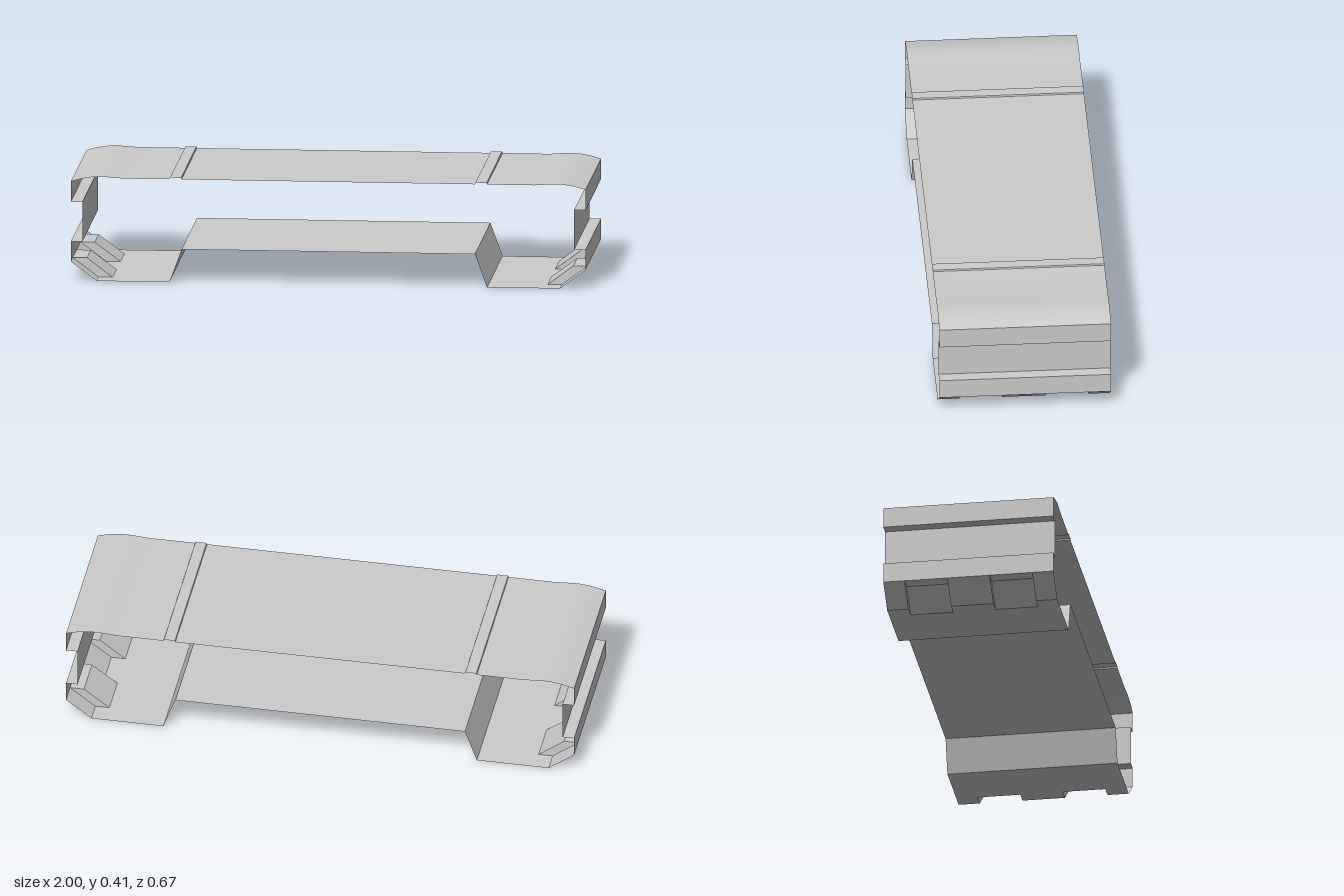
import * as THREE from 'three';
import { toCreasedNormals } from 'three/addons/utils/BufferGeometryUtils.js';

const HALF_DEPTH = 0.333;

export function createModel() {
  const model = new THREE.Group();
  const material = new THREE.MeshStandardMaterial({ color: 0xcccccc, side: THREE.DoubleSide });

  function add(name, geometry) {
    const mesh = new THREE.Mesh(geometry, material);
    mesh.name = name;
    model.add(mesh);
    return mesh;
  }

  // Sweeps an open profile (counter-clockwise in x, y) along z into a thin sheet
  function sheet(name, points, z0 = -HALF_DEPTH, z1 = HALF_DEPTH) {
    const positions = [];
    for (let i = 0; i < points.length - 1; i++) {
      const [ax, ay] = points[i];
      const [bx, by] = points[i + 1];
      positions.push(ax, ay, z0, bx, by, z0, bx, by, z1);
      positions.push(ax, ay, z0, bx, by, z1, ax, ay, z1);
    }
    const geometry = new THREE.BufferGeometry();
    geometry.setAttribute('position', new THREE.Float32BufferAttribute(positions, 3));
    geometry.computeVertexNormals();
    return add(name, toCreasedNormals(geometry, 0.35));
  }

  const mirror = (points) => points.map(([x, y]) => [-x, y]).reverse();

  // Upper shell: grooved ends, rounded shoulders and a shallow rib on each side
  const shoulder = new THREE.SplineCurve([
    new THREE.Vector2(1, 0.39), new THREE.Vector2(0.95, 0.403),
    new THREE.Vector2(0.89, 0.41), new THREE.Vector2(0.8, 0.405),
  ]).getPoints(12).map((p) => [p.x, p.y]);
  const upper = [
    [1, 0.075], [1, 0.154], [0.955, 0.154], [0.955, 0.31], [1, 0.31],
    ...shoulder,
    [0.617, 0.405], [0.615, 0.411], [0.572, 0.411], [0.57, 0.405],
  ];
  sheet('upperShell', [...upper, ...mirror(upper)]);

  // Lower shell: raised middle between two feet
  const lower = [[0.57, 0.13], [0.617, 0], [0.845, 0]];
  sheet('lowerShell', [...mirror(lower), ...lower]);

  // Chamfered lower edges, alternating plain strips and recessed notches
  const plain = [[0.845, 0], [0.9, 0], [1, 0.075]];
  const recess = [[0.845, 0], [0.945, 0.075], [1, 0.075]];
  const cuts = [-HALF_DEPTH, -0.25, -0.083, 0.083, 0.25, HALF_DEPTH];
  const outline = [[0.845, 0], [0.9, 0], [1, 0.075], [0.945, 0.075]];
  for (const side of [1, -1]) {
    const orient = (points) => (side > 0 ? points : mirror(points));
    for (let i = 0; i < cuts.length - 1; i++) {
      const notched = i % 2 === 1;
      sheet(notched ? 'notchFloor' : 'chamfer', orient(notched ? recess : plain), cuts[i], cuts[i + 1]);
    }
    // Side walls of the notches
    const shape = new THREE.Shape(orient(outline).map(([x, y]) => new THREE.Vector2(x, y)));
    for (const z of cuts.slice(1, -1)) {
      add('notchWall', new THREE.ShapeGeometry(shape)).position.z = z;
    }
  }

  return model;
}
